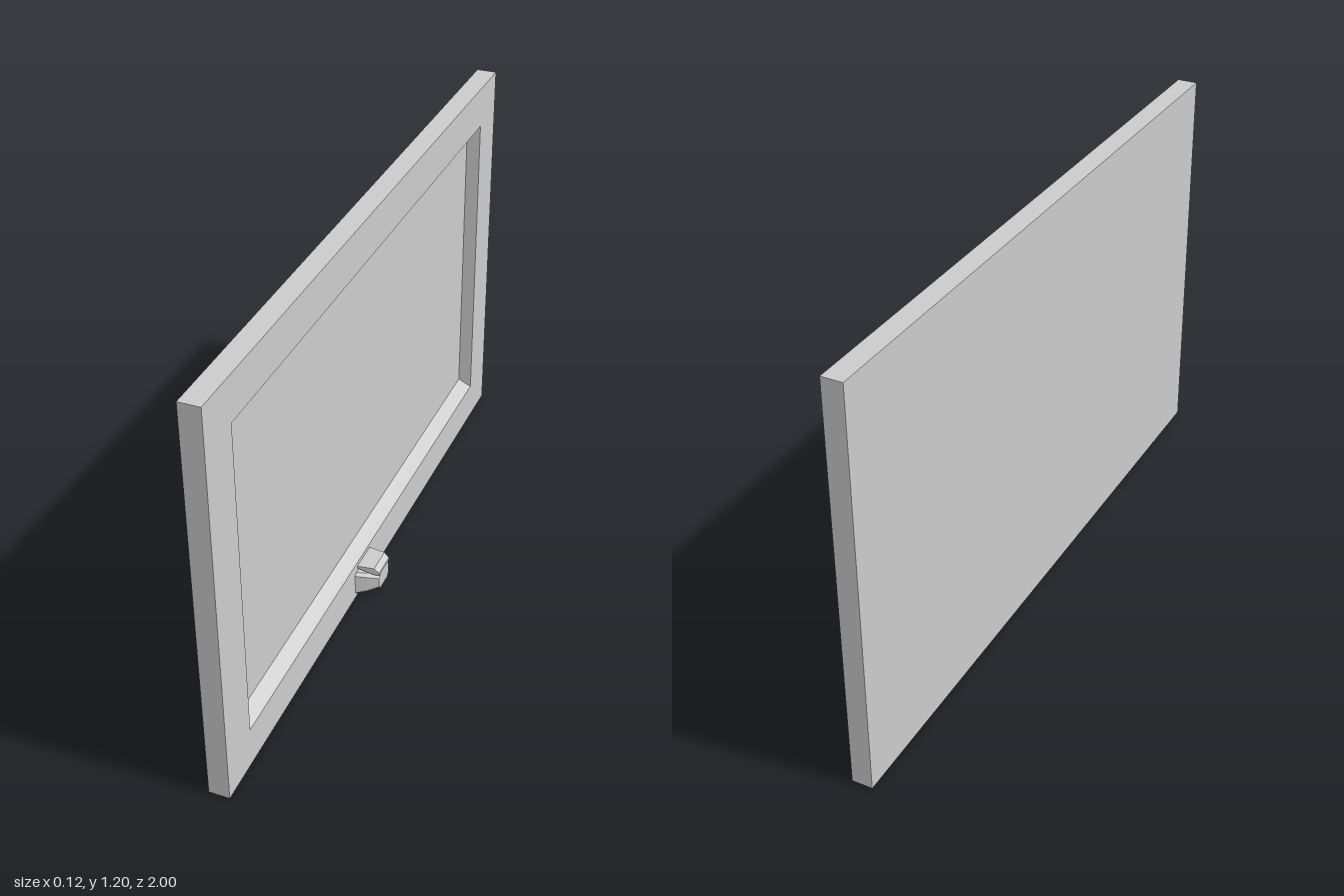
import * as THREE from 'three';
import { ConvexGeometry } from 'three/addons/geometries/ConvexGeometry.js';

const material = new THREE.MeshStandardMaterial({ color: 0xcccccc, flatShading: true });

function part(name, geometry, parent) {
  const mesh = new THREE.Mesh(geometry, material);
  mesh.name = name;
  parent.add(mesh);
  return mesh;
}

// Four corners of a section [x, zMin, zMax, yMin, yMax], counter-clockwise seen from +x
const corners = ([x, z0, z1, y0, y1]) => [[x, y0, z1], [x, y0, z0], [x, y1, z0], [x, y1, z1]];

// Skin successive rectangular sections
function loft(sections) {
  const positions = [];
  const rings = sections.map(corners);
  for (let r = 0; r < rings.length - 1; r++) {
    for (let i = 0; i < 4; i++) {
      const j = (i + 1) % 4;
      const a = rings[r][i], b = rings[r][j], c = rings[r + 1][j], d = rings[r + 1][i];
      positions.push(...a, ...b, ...c, ...a, ...c, ...d);
    }
  }
  const geometry = new THREE.BufferGeometry();
  geometry.setAttribute('position', new THREE.Float32BufferAttribute(positions, 3));
  geometry.computeVertexNormals();
  return geometry;
}

// Rectangular section with cut corners, as points for a convex hull
function chamfered([x, z0, z1, y0, y1], cut) {
  const points = [];
  for (const [z, dz] of [[z0, cut], [z1, -cut]]) {
    for (const [y, dy] of [[y0, cut], [y1, -cut]]) {
      points.push(new THREE.Vector3(x, y + dy, z), new THREE.Vector3(x, y, z + dz));
    }
  }
  return points;
}

export function createModel() {
  const group = new THREE.Group();
  group.name = 'framedPanel';

  // Full-size backing board, seen as the recessed panel inside the frame
  part('panel', new THREE.BoxGeometry(0.02, 1.2, 2), group).position.set(-0.055, 0.6, 0);

  // Border: outer edge, flat face, then reveal with a sloped sill
  part('frame', loft([
    [-0.045, -1, 1, 0, 1.2],
    [-0.005, -1, 1, 0, 1.2],
    [-0.005, -0.865, 0.868, 0.12, 1.075],
    [-0.045, -0.858, 0.86, 0.145, 1.078],
  ]), group);

  // Faceted knob, tapering outwards
  const handle = new THREE.Group();
  handle.name = 'handle';
  group.add(handle);
  part('knob', new ConvexGeometry([
    ...chamfered([-0.01, 0.03, 0.165, 0.01, 0.09], 0.008),
    ...chamfered([0.025, 0.035, 0.15, 0.016, 0.086], 0.01),
    ...chamfered([0.058, 0.055, 0.132, 0.026, 0.08], 0.012),
  ]), handle);

  // Lip sloping down over the top of the knob
  const profile = [[-0.01, 0.1], [-0.01, 0.107], [0.045, 0.107], [0.06, 0.093], [0.06, 0.084], [0.045, 0.084]];
  part('knobLip', new ConvexGeometry(profile.flatMap(([x, y]) => {
    const half = 0.048 - Math.max(0, x) * 0.15;
    return [-half, half].map(dz => new THREE.Vector3(x, y, 0.098 + dz));
  })), handle);

  return group;
}
